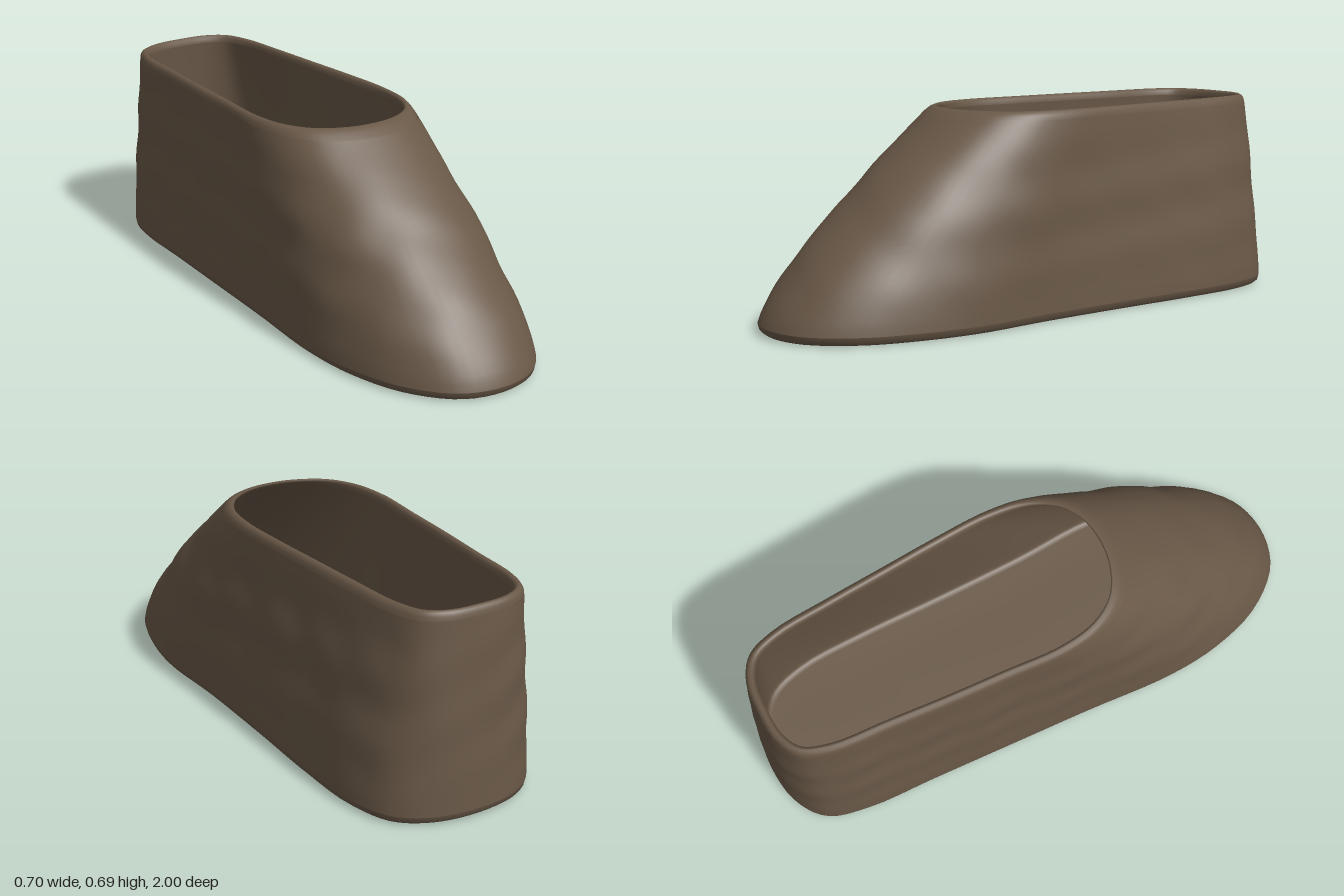
import * as THREE from 'three';

const HEIGHT = 0.69, SEGMENTS = 96;

// Outlines as [x, z], running from the toe round by +x to the heel and back
const SOLE = [
  [0, 1], [0.14, 0.96], [0.26, 0.82], [0.325, 0.62], [0.35, 0.42], [0.337, 0.15],
  [0.335, -0.2], [0.338, -0.5], [0.325, -0.75], [0.27, -0.9], [0.16, -0.975], [0, -1],
  [-0.15, -0.975], [-0.25, -0.9], [-0.29, -0.75], [-0.302, -0.5], [-0.317, -0.2],
  [-0.332, 0.1], [-0.352, 0.42], [-0.335, 0.62], [-0.27, 0.82], [-0.15, 0.96],
];
const COLLAR = [
  [0, 0.31], [0.1, 0.295], [0.19, 0.24], [0.25, 0.14], [0.272, 0], [0.265, -0.2],
  [0.25, -0.4], [0.235, -0.6], [0.215, -0.8], [0.175, -0.9], [0.1, -0.945], [-0.01, -0.955],
  [-0.12, -0.945], [-0.2, -0.9], [-0.24, -0.8], [-0.255, -0.6], [-0.27, -0.4],
  [-0.28, -0.2], [-0.29, 0], [-0.265, 0.14], [-0.2, 0.24], [-0.1, 0.295],
];

function sampleOutline(points) {
  const curve = new THREE.CatmullRomCurve3(
    points.map(([x, z]) => new THREE.Vector3(x, 0, z)), true, 'centripetal');
  return Array.from({ length: SEGMENTS }, (_, i) => curve.getPoint(i / SEGMENTS));
}

// One closed ring at height y, moved inward by inset, then scaled about the middle
function makeRing(sole, collar, { y, inset = 0, scale = 1, dents = 0 }) {
  const t = THREE.MathUtils.clamp((y - 0.03) / (HEIGHT - 0.03), 0, 1);
  const base = sole.map((p, i) => p.clone().lerp(collar[i], t ** 1.3));
  return base.map((p, i) => {
    const tangent = base[(i + 1) % SEGMENTS].clone()
      .sub(base[(i + SEGMENTS - 1) % SEGMENTS]).normalize();
    const wave = Math.sin(9 * p.z + 13 * y + 5 * p.x) * Math.sin(17 * y - 7 * p.z + 8 * p.x)
      + 0.5 * Math.sin(23 * p.z - 19 * y) * Math.sin(21 * p.x + 11 * y);
    const push = dents * wave * Math.sin(Math.PI * t) - inset;
    return [(p.x - tangent.z * push) * scale, y, (p.z + tangent.x * push) * scale];
  });
}

// Skin a stack of rings
function loft(name, rings, material) {
  const index = [];
  for (let r = 0; r < rings.length - 1; r++) {
    for (let i = 0; i < SEGMENTS; i++) {
      const a = r * SEGMENTS + i, b = r * SEGMENTS + (i + 1) % SEGMENTS;
      index.push(a, b, b + SEGMENTS, a, b + SEGMENTS, a + SEGMENTS);
    }
  }
  const geometry = new THREE.BufferGeometry();
  geometry.setAttribute('position', new THREE.Float32BufferAttribute(rings.flat(2), 3));
  geometry.setIndex(index);
  geometry.computeVertexNormals();
  const mesh = new THREE.Mesh(geometry, material);
  mesh.name = name;
  return mesh;
}

export function createModel() {
  const group = new THREE.Group();
  group.name = 'slipper';
  const leather = new THREE.MeshStandardMaterial({ color: 0x695847, side: THREE.DoubleSide });
  const sole = sampleOutline(SOLE), collar = sampleOutline(COLLAR);
  const add = (name, rows) =>
    group.add(loft(name, rows.map((row) => makeRing(sole, collar, row)), leather));

  // Flat underside with a rounded edge
  add('sole', [
    { y: 0.008, inset: 0.03, scale: 0.001 }, { y: 0.008, inset: 0.03, scale: 0.5 },
    { y: 0.006, inset: 0.03, scale: 0.9 }, { y: 0, inset: 0.028 }, { y: 0.003, inset: 0.015 },
    { y: 0.012, inset: 0.004 }, { y: 0.03 },
  ]);

  // Outer wall, sloping from the toe to the opening
  const upper = [];
  for (let i = 0; i <= 28; i++) upper.push({ y: 0.03 + 0.63 * i / 28, dents: 0.005 });
  add('upper', upper);

  // Rounded lip round the opening
  add('rim', [
    { y: 0.66 }, { y: 0.675, inset: 0.001 }, { y: 0.685, inset: 0.006 }, { y: 0.69, inset: 0.014 },
    { y: 0.688, inset: 0.022 }, { y: 0.68, inset: 0.029 }, { y: 0.665, inset: 0.032 },
  ]);

  // Inner wall and insole
  const lining = [];
  for (let i = 0; i <= 16; i++) lining.push({ y: 0.665 - 0.615 * i / 16, inset: 0.032 });
  lining.push({ y: 0.04, inset: 0.04 }, { y: 0.035, inset: 0.055 },
    { y: 0.035, inset: 0.055, scale: 0.5 }, { y: 0.035, inset: 0.055, scale: 0.001 });
  add('lining', lining);

  return group;
}
